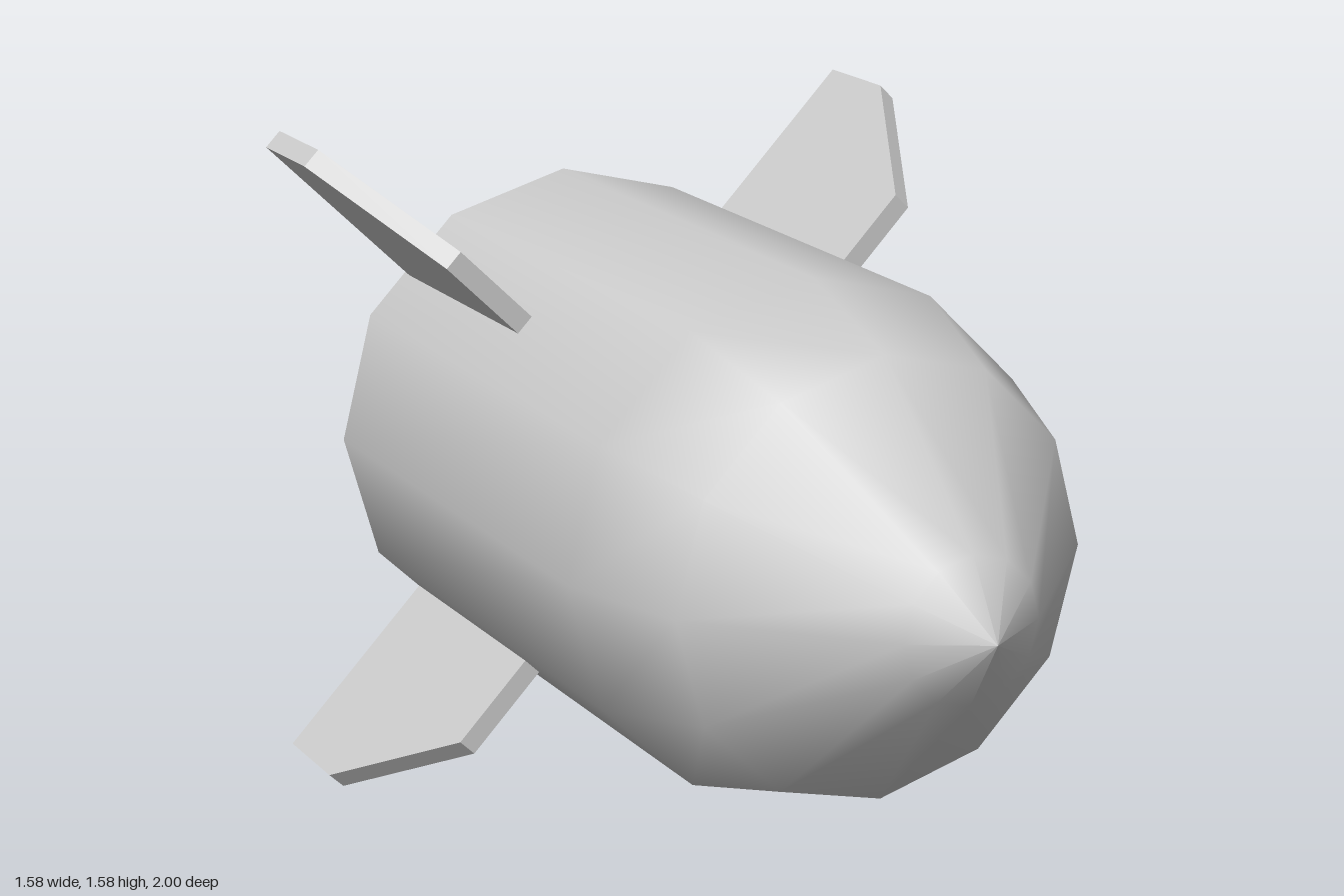
import * as THREE from 'three';

const CENTER_Y = 0.79, SIDES = 12, RADIUS = 0.61;

export function createModel() {
  const model = new THREE.Group();
  const material = new THREE.MeshStandardMaterial({ color: 0xcccccc });
  const add = (name, geometry) => {
    const mesh = new THREE.Mesh(geometry, material);
    mesh.name = name;
    mesh.position.y = CENTER_Y;
    model.add(mesh);
    return mesh;
  };

  // Body: straight tube tapering to a pointed nose, axis turned to +z
  const profile = [[RADIUS, -1], [RADIUS, 0.23], [0.51, 0.54], [0.167, 0.9], [0, 1]]
    .map(([r, z]) => new THREE.Vector2(r, z));
  add('body', new THREE.LatheGeometry(profile, SIDES).rotateX(Math.PI / 2));

  // Flat rear cap facing -z
  add('rearCap', new THREE.CircleGeometry(RADIUS, SIDES).rotateY(Math.PI).translate(0, 0, -1));

  // Fin outline: radial distance against z
  const thickness = 0.05;
  const outline = new THREE.Shape(
    [[0.59, -0.97], [1.092, -0.97], [1.092, -0.735], [0.835, -0.36], [0.59, -0.36]]
      .map(([r, z]) => new THREE.Vector2(r, z)));
  const finGeometry = new THREE.ExtrudeGeometry(outline, { depth: thickness, bevelEnabled: false })
    .translate(0, 0, -thickness / 2)
    .rotateX(Math.PI / 2);

  // Four fins on the diagonals
  ['upperLeftFin', 'upperRightFin', 'lowerRightFin', 'lowerLeftFin'].forEach((name, i) => {
    add(name, finGeometry).rotation.z = Math.PI / 4 + i * Math.PI / 2;
  });

  return model;
}
